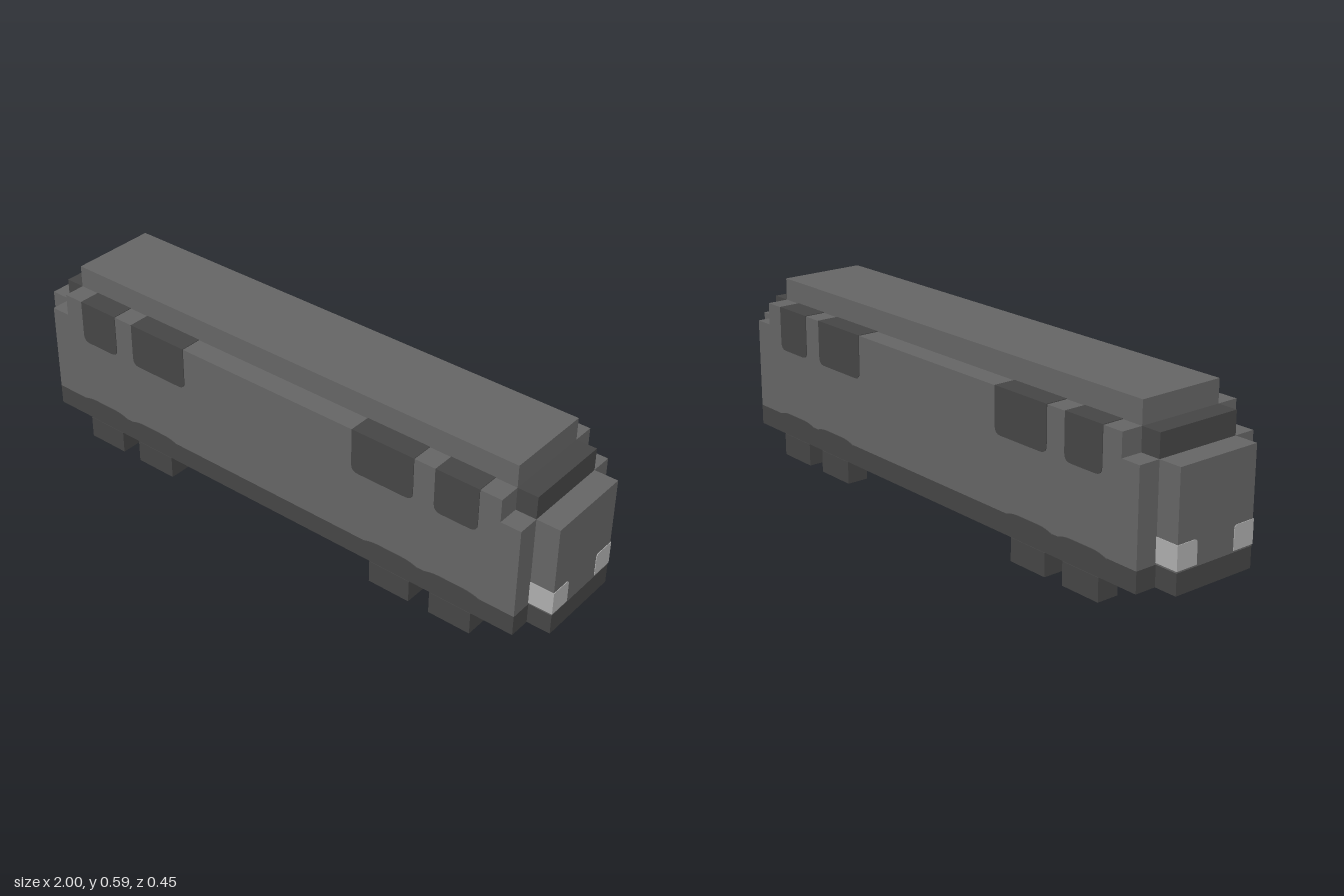
import * as THREE from 'three';

const paint = (name, color) => {
  const m = new THREE.MeshStandardMaterial({ color });
  m.name = name;
  return m;
};

export function createModel() {
  const grey = paint('bodyGrey', 0x656565);
  const dark = paint('darkGrey', 0x454545);
  const light = paint('lampGrey', 0xaeaeae);
  const model = new THREE.Group();
  model.name = 'railcar';

  const add = (name, geometry, material) => {
    const mesh = new THREE.Mesh(geometry, material);
    mesh.name = name;
    model.add(mesh);
    return mesh;
  };
  // Box given by its limits on each axis
  const box = (name, mat, x0, x1, y0, y1, z0, z1) =>
    add(name, new THREE.BoxGeometry(x1 - x0, y1 - y0, z1 - z0), mat)
      .position.set((x0 + x1) / 2, (y0 + y1) / 2, (z0 + z1) / 2);
  // Thin painted plate on an upright face turned by angle
  const plate = (name, mat, shape, angle, distance) => {
    const mesh = add(name, new THREE.ExtrudeGeometry(shape, { depth: 0.002, bevelEnabled: false, curveSegments: 4 }), mat);
    mesh.rotation.y = angle;
    mesh.position.set(Math.sin(angle) * distance, 0, Math.cos(angle) * distance);
  };

  const W = 0.221, N = 0.148, L = 0.92, S = 0.852, END = 0.998;

  // Hull, skirt, shoulders and raised roof
  box('skirt', dark, -L, L, 0.075, 0.142, -W, W);
  box('hull', grey, -L, L, 0.142, 0.445, -W, W);
  box('shoulders', grey, -S, S, 0.445, 0.52, -W, W);
  box('roof', grey, -S, S, 0.52, 0.594, -N, N);

  const windows = [[0.63, 0.78], [0.333, 0.556]];
  const wheels = [[0.63, 0.777], [0.408, 0.556]];

  // Window with rounded lower corners
  const windowShape = (a, b) => {
    const s = new THREE.Shape();
    const r = 0.025, y = 0.375;
    s.moveTo(a, 0.522);
    s.lineTo(a, y + r);
    s.quadraticCurveTo(a, y, a + r, y);
    s.lineTo(b - r, y);
    s.quadraticCurveTo(b, y, b, y + r);
    s.lineTo(b, 0.522);
    return s;
  };
  // Slight rise of the skirt paint over a wheel
  const archShape = (a, b) => {
    const s = new THREE.Shape();
    s.moveTo(a - 0.03, 0.14);
    s.lineTo(b + 0.03, 0.14);
    s.quadraticCurveTo(b, 0.152, b - 0.03, 0.152);
    s.lineTo(a + 0.03, 0.152);
    s.quadraticCurveTo(a, 0.152, a - 0.03, 0.14);
    return s;
  };
  // Lamp with a clipped upper inner corner; side is +1 or -1
  const lampShape = (side) => {
    const s = new THREE.Shape();
    s.moveTo(side * 0.15, 0.148);
    s.lineTo(side * 0.15, 0.224);
    s.lineTo(side * 0.083, 0.224);
    s.quadraticCurveTo(side * 0.073, 0.222, side * 0.073, 0.212);
    s.lineTo(side * 0.073, 0.148);
    return s;
  };

  for (const e of [-1, 1]) {
    const span = (a, b) => (e > 0 ? [a, b] : [-b, -a]);

    // Nose and dark windscreen block at each end
    box('noseSkirt', dark, ...span(L, END), 0.075, 0.142, -N, N);
    box('nose', grey, ...span(L, END), 0.142, 0.445, -N, N);
    box('windscreen', dark, ...span(S, L), 0.445, 0.52, -N, N);

    for (const s of [-1, 1]) {
      const depth = (a, b) => (s > 0 ? [a, b] : [-b, -a]);
      const angle = s > 0 ? 0 : Math.PI;

      // Lamps wrap around the nose corners
      plate('lampFront', light, lampShape(s), e * Math.PI / 2, END);
      box('lampSide', light, ...span(L, END + 0.002), 0.148, 0.224, ...depth(N, N + 0.002));

      // Windows fold over onto the shoulder
      for (const [a, b] of windows) {
        plate('window', dark, windowShape(...span(a, b)), angle, W);
        box('windowTop', dark, ...span(a, b), 0.52, 0.522, ...depth(N, W));
      }
      // Blocky wheels
      for (const [a, b] of wheels) {
        box('wheel', dark, ...span(a, b), 0, 0.075, ...depth(N, W + 0.002));
        plate('wheelArch', dark, archShape(...span(a, b)), angle, W);
      }
    }
  }
  return model;
}
